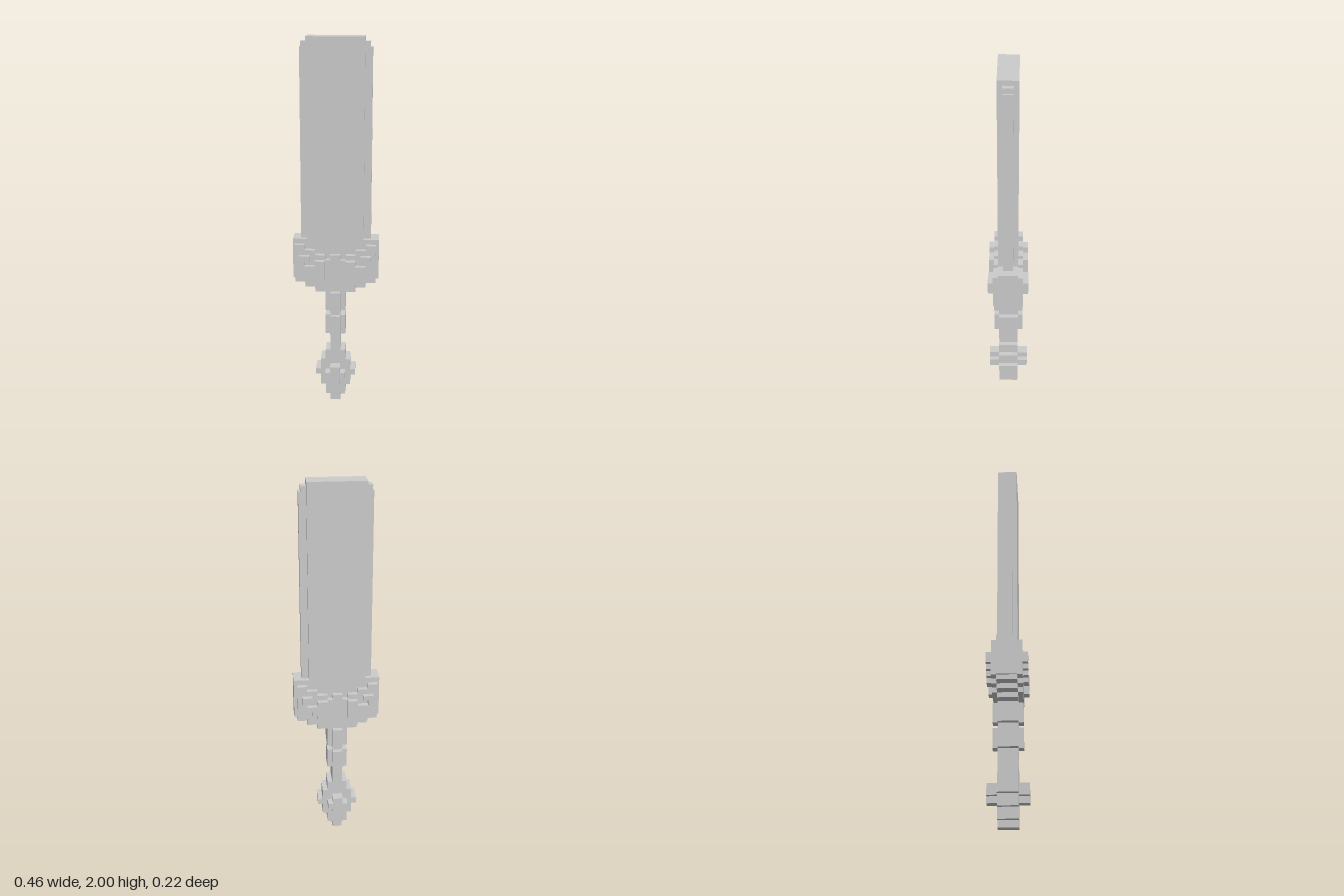
import * as THREE from 'three';

const material = new THREE.MeshStandardMaterial({ color: 0xcccccc, flatShading: true });
const CX = -0.003; // the stepped ornaments sit slightly off centre
const Z1 = 0.053, Z2 = 0.08, Z3 = 0.108; // half depths of the three layers

// Box from its limits, centred on z = 0
function block(parent, name, x0, x1, y0, y1, halfDepth) {
  const mesh = new THREE.Mesh(new THREE.BoxGeometry(x1 - x0, y1 - y0, halfDepth * 2), material);
  mesh.position.set((x0 + x1) / 2, (y0 + y1) / 2, 0);
  mesh.name = name;
  parent.add(mesh);
}

// Centred box
function tier(parent, name, halfWidth, y0, y1, halfDepth) {
  block(parent, name, CX - halfWidth, CX + halfWidth, y0, y1, halfDepth);
}

// Pair of boxes mirrored about the ornament centre line
function pair(parent, name, inner, outer, y0, y1, halfDepth) {
  block(parent, name, CX + inner, CX + outer, y0, y1, halfDepth);
  block(parent, name, CX - outer, CX - inner, y0, y1, halfDepth);
}

function part(root, name) {
  const group = new THREE.Group();
  group.name = name;
  root.add(group);
  return group;
}

export function createModel() {
  const root = new THREE.Group();
  root.name = 'sword';

  // Broad flat blade with a stepped rail on each edge
  const blade = part(root, 'blade');
  block(blade, 'bladeSlab', -0.154, 0.147, 0.9, 2, Z1);
  block(blade, 'edgeRail', -0.182, 0.175, 0.9, 1.975, 0.027);
  block(blade, 'outerEdgeRail', -0.188, 0.186, 0.9, 1.947, 0.027);

  // Guard core, narrowing in steps towards the grip
  const guard = part(root, 'guard');
  block(guard, 'guardCore', -0.23, 0.229, 0.725, 0.942, Z1);
  [[0.216, 0.699, 0.725], [0.163, 0.672, 0.699], [0.108, 0.645, 0.672]]
    .forEach(([w, y0, y1]) => tier(guard, 'guardStep', w, y0, y1, Z1));

  // Raised guard relief: inner x, outer x, bottom, top of each column
  [
    [0.163, 0.216, 0.725, 0.915],
    [0.108, 0.163, 0.699, 0.887],
    [0.054, 0.108, 0.672, 0.86],
    [0.027, 0.054, 0.672, 0.833],
  ].forEach(([a, b, y0, y1]) => pair(guard, 'guardRelief', a, b, y0, y1, Z2));
  tier(guard, 'guardReliefCentre', 0.027, 0.672, 0.86, Z2);

  // Hooked ornaments on both faces of the guard
  [
    [0.054, 0.108, 0.725, 0.833],
    [0.108, 0.136, 0.752, 0.805],
    [0.136, 0.163, 0.778, 0.805],
    [0.163, 0.19, 0.805, 0.833],
    [0.136, 0.19, 0.833, 0.86],
  ].forEach(([a, b, y0, y1]) => pair(guard, 'guardHook', a, b, y0, y1, Z3));

  // Grip with two cross-shaped collars
  const grip = part(root, 'grip');
  tier(grip, 'gripCore', 0.027, 0.29, 0.65, Z1);
  [[0.402, 0.51], [0.538, 0.645]].forEach(([y0, y1]) => {
    tier(grip, 'collarSides', 0.054, y0, y1, Z1);
    tier(grip, 'collarFaces', 0.027, y0, y1, Z2);
  });

  // Stepped diamond pommel with a small cross on each face
  const pommel = part(root, 'pommel');
  [
    [0.027, 0, 0.036],
    [0.054, 0.036, 0.302],
    [0.081, 0.095, 0.247],
    [0.108, 0.155, 0.188],
  ].forEach(([w, y0, y1]) => tier(pommel, 'pommelStep', w, y0, y1, Z1));
  tier(pommel, 'pommelCrossUpright', 0.027, 0.12, 0.222, Z3);
  tier(pommel, 'pommelCrossArms', 0.054, 0.155, 0.188, Z3);

  return root;
}
